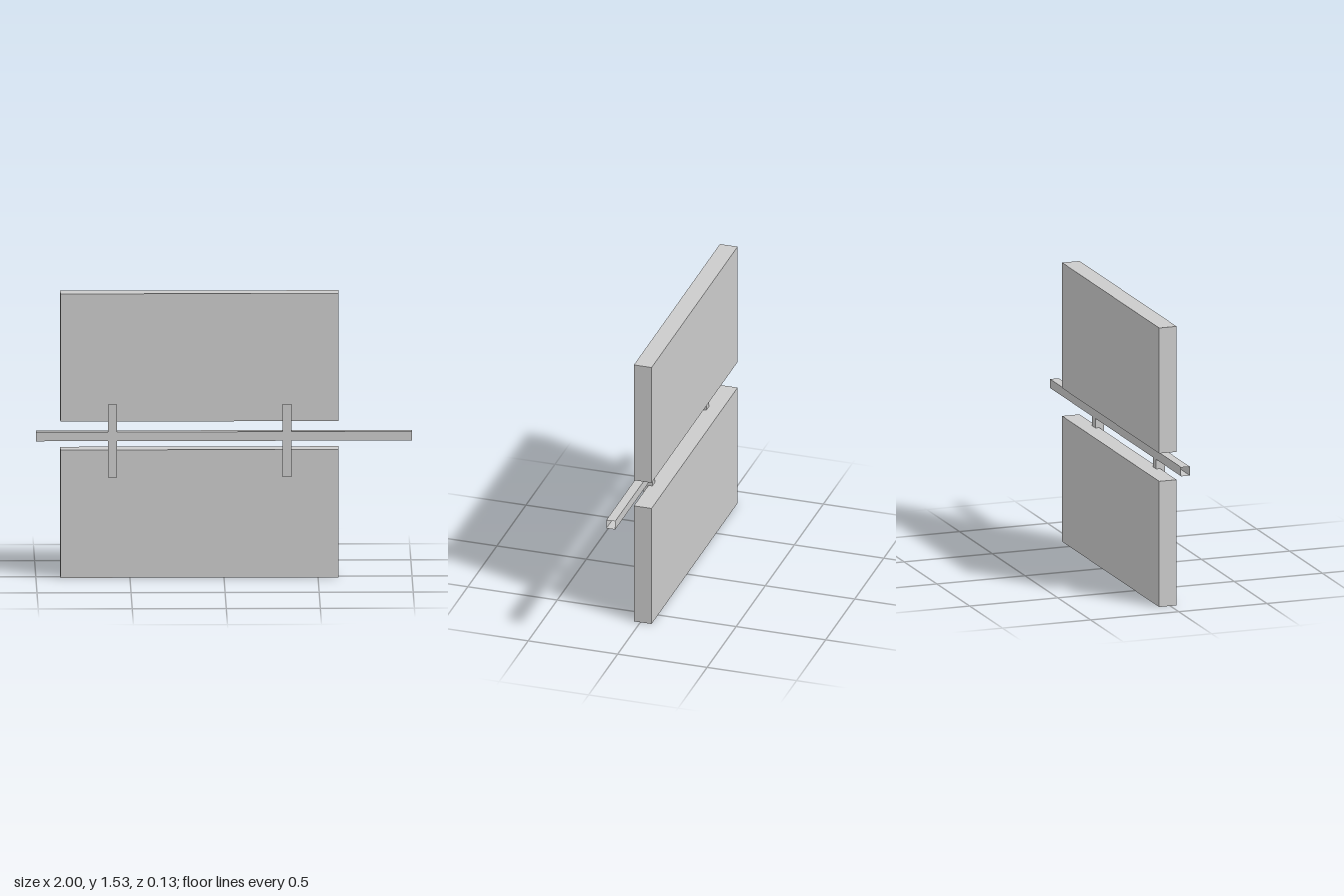
import * as THREE from 'three';

const panelMat = new THREE.MeshStandardMaterial({ color: 0xcccccc });
const tubeMat = new THREE.MeshStandardMaterial({ color: 0xcccccc, side: THREE.DoubleSide });

// Box given by its min and max corners
function block(name, [x0, y0, z0], [x1, y1, z1], material = panelMat) {
  const mesh = new THREE.Mesh(new THREE.BoxGeometry(x1 - x0, y1 - y0, z1 - z0), material);
  mesh.position.set((x0 + x1) / 2, (y0 + y1) / 2, (z0 + z1) / 2);
  mesh.name = name;
  return mesh;
}

// Thin square tube, open at both ends of the given axis (0 = x, 1 = y)
function tube(name, min, max, axis) {
  const mesh = block(name, min, max, tubeMat);
  const index = Array.from(mesh.geometry.index.array);
  index.splice(axis * 12, 12); // drop the two end faces
  mesh.geometry.setIndex(index);
  mesh.geometry.clearGroups();
  return mesh;
}

export function createModel() {
  const model = new THREE.Group();
  model.name = 'panelsOnRail';

  // Two thick panels with a gap between them
  model.add(block('lowerPanel', [-0.87, 0, -0.063], [0.61, 0.69, 0.036]));
  model.add(block('upperPanel', [-0.87, 0.843, -0.063], [0.61, 1.532, 0.036]));

  // Hollow upright posts
  const back = 0.014, front = 0.063, half = 0.0245;
  const postX = [-0.593, 0.335];
  for (const x of postX) {
    model.add(tube('post', [x - half, 0.546, back], [x + half, 0.94, front], 1));
  }

  // Hollow rail, interrupted where the posts pass through
  const ends = [-1, ...postX.flatMap((x) => [x - half, x + half]), 1];
  const rail = new THREE.Group();
  rail.name = 'rail';
  for (let i = 0; i < ends.length; i += 2) {
    rail.add(tube('railSection', [ends[i], 0.742, back], [ends[i + 1], 0.791, front], 0));
  }
  model.add(rail);

  return model;
}
